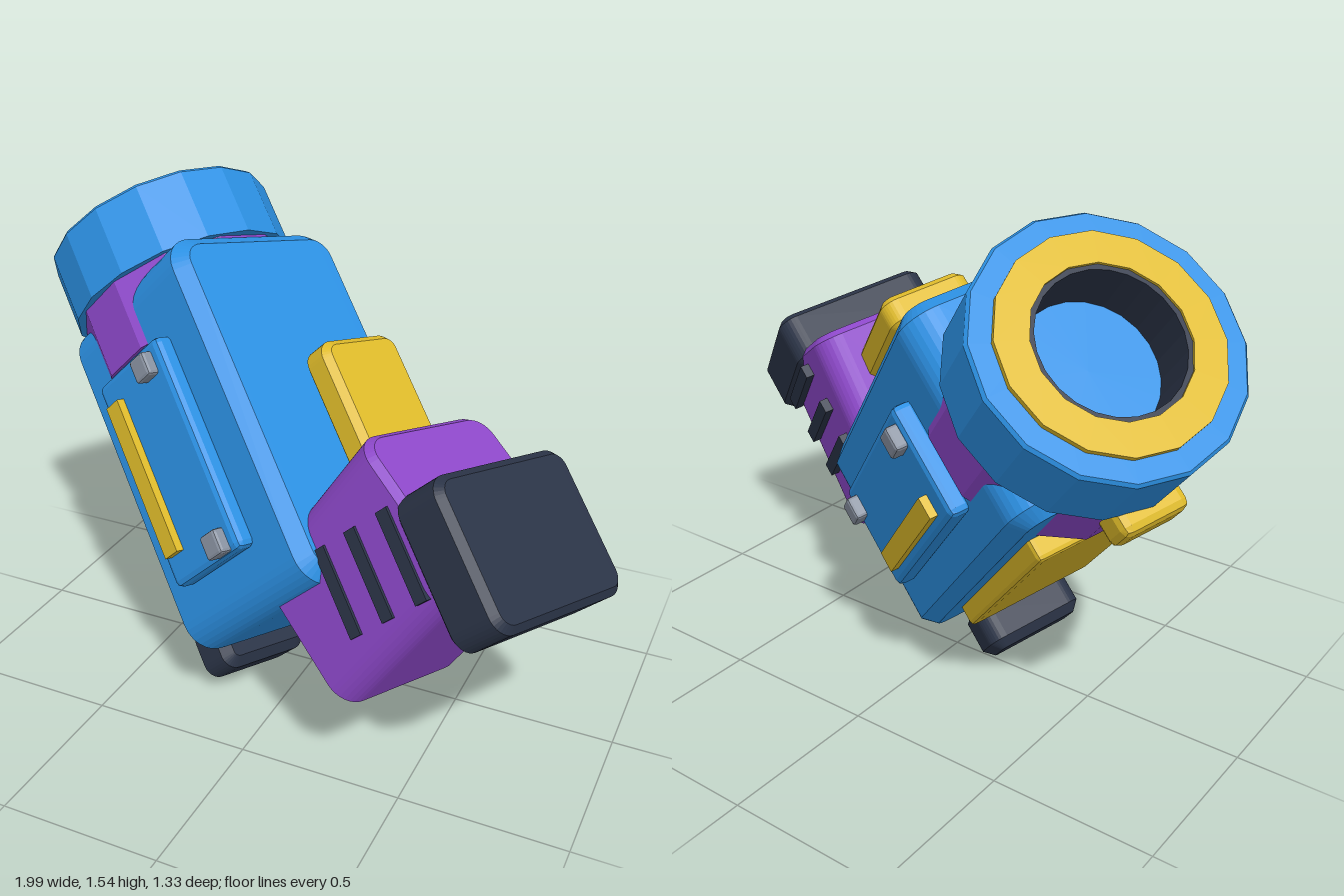
import * as THREE from 'three';
import { RoundedBoxGeometry } from 'three/addons/geometries/RoundedBoxGeometry.js';

const paint = (name, color) => new THREE.MeshStandardMaterial({ name, color, flatShading: true });

// Slab lying across x: outline in z and y with round corners, edges bevelled once
function slabGeometry(w, h, d, radius, bevel) {
  const a = d / 2 - radius, b = h / 2 - radius;
  const shape = new THREE.Shape();
  [[a, b], [-a, b], [-a, -b], [a, -b]].forEach(([cx, cy], i) =>
    shape.absarc(cx, cy, radius, i * Math.PI / 2, (i + 1) * Math.PI / 2, false));
  const geometry = new THREE.ExtrudeGeometry(shape, {
    depth: w - 2 * bevel, curveSegments: 4,
    bevelSize: bevel, bevelThickness: bevel, bevelOffset: -bevel, bevelSegments: 1,
  });
  return geometry.translate(0, 0, bevel - w / 2).rotateY(Math.PI / 2);
}

export function createModel() {
  const blue = paint('blue', 0x2c91e4);
  const purple = paint('purple', 0x8d48ca);
  const yellow = paint('yellow', 0xdfbb2a);
  const dark = paint('charcoal', 0x2b3447);
  const grey = paint('grey', 0x8992a1);

  // Local frame: x across the body, y along the barrel, z out of the side panels
  const arm = new THREE.Group();
  arm.name = 'armCannon';
  const MID = 0.19; // middle plane between the two sides

  const add = (name, geometry, material, x, y, z) => {
    const mesh = new THREE.Mesh(geometry, material);
    mesh.name = name;
    mesh.position.set(x, y, z);
    arm.add(mesh);
    return mesh;
  };
  // Box from ranges in x and y and a half width in z; radius 0 keeps it sharp
  const block = (name, material, [x0, x1], [y0, y1], half, radius = 0, z = MID) => {
    const size = [x1 - x0, y1 - y0, half * 2];
    const geometry = radius
      ? new RoundedBoxGeometry(...size, 1, radius)
      : new THREE.BoxGeometry(...size);
    return add(name, geometry, material, (x0 + x1) / 2, (y0 + y1) / 2, z);
  };
  const slab = (name, material, [x0, x1], [y0, y1], half, radius, bevel, z = MID) =>
    add(name, slabGeometry(x1 - x0, y1 - y0, half * 2, radius, bevel), material,
      (x0 + x1) / 2, (y0 + y1) / 2, z);
  const lathe = (name, material, points, sides) =>
    add(name, new THREE.LatheGeometry(points.map(p => new THREE.Vector2(...p)), sides),
      material, 0.338, 0, MID);

  // Main housing
  slab('housing', blue, [0.07, 0.72], [0.125, 1.225], 0.325, 0.1, 0.04);

  // Neck, whose facets show through the housing
  const neck = add('neck', new THREE.CylinderGeometry(0.35, 0.35, 0.23, 12), purple, 0.338, 1.123, MID);
  neck.rotation.y = Math.PI / 12;

  // Muzzle with yellow ring and dark bore
  lathe('muzzle', blue, [[0, 1.235], [0.368, 1.235], [0.368, 1.46], [0.36, 1.47], [0.21, 1.47]], 16);
  lathe('muzzleRing', yellow, [[0.302, 1.46], [0.302, 1.486], [0.212, 1.486], [0.212, 1.46]], 16);
  lathe('bore', dark, [[0.214, 1.478], [0.197, 1.478], [0.197, 1.31]], 24);
  lathe('boreBottom', blue, [[0.2, 1.31], [0, 1.31]], 24);

  // Side panels, light bars, bolts and vents on both sides
  for (const side of [1, -1]) {
    const z = d => MID + side * d;
    block('sidePanel', blue, [0.212, 0.555], [0.315, 0.985], 0.035, 0.02, z(0.345));
    block('sideBar', yellow, [0.25, 0.315], [0.405, 0.9], 0.025, 0, z(0.38));
    for (const y of [0.36, 0.922]) {
      block('bolt', grey, [0.441, 0.515], [y - 0.037, y + 0.037], 0.03, 0.01, z(0.385));
    }
    for (const x of [0.735, 0.87, 1.005]) {
      block('vent', dark, [x - 0.022, x + 0.022], [-0.04, 0.22], 0.015, 0, z(0.263));
    }
  }

  // Underside strip, clip and foot
  block('undersideStrip', yellow, [0.005, 0.1], [0.29, 0.98], 0.225, 0.015);
  block('clip', yellow, [-0.07, 0.03], [1.12, 1.24], 0.105, 0.025);
  slab('foot', dark, [-0.095, 0.065], [0.06, 0.23], 0.17, 0.05, 0.03, 0.2);

  // Tilted grip block with end pad and lever
  const tilt = 14 * Math.PI / 180;
  const grip = slab('grip', purple, [0.485, 1.1], [-0.328, 0.16], 0.26, 0.08, 0.02, 0.2);
  grip.position.applyAxisAngle(new THREE.Vector3(0, 0, 1), tilt);
  grip.rotation.z = tilt;
  slab('endPad', dark, [1.04, 1.217], [-0.205, 0.225], 0.275, 0.06, 0.02, 0.2);
  slab('lever', yellow, [0.84, 0.945], [0.3, 0.74], 0.15, 0.05, 0.02, 0.2);

  // Swing the whole arm into its resting pose
  const across = new THREE.Vector3(0.714, 0.685, 0.144).normalize();
  const along = new THREE.Vector3(-0.6, 0.705, -0.379).normalize();
  const out = across.clone().cross(along).normalize();
  arm.quaternion.setFromRotationMatrix(new THREE.Matrix4().makeBasis(across, along, out));

  const model = new THREE.Group();
  model.name = 'model';
  model.add(arm);
  return model;
}
